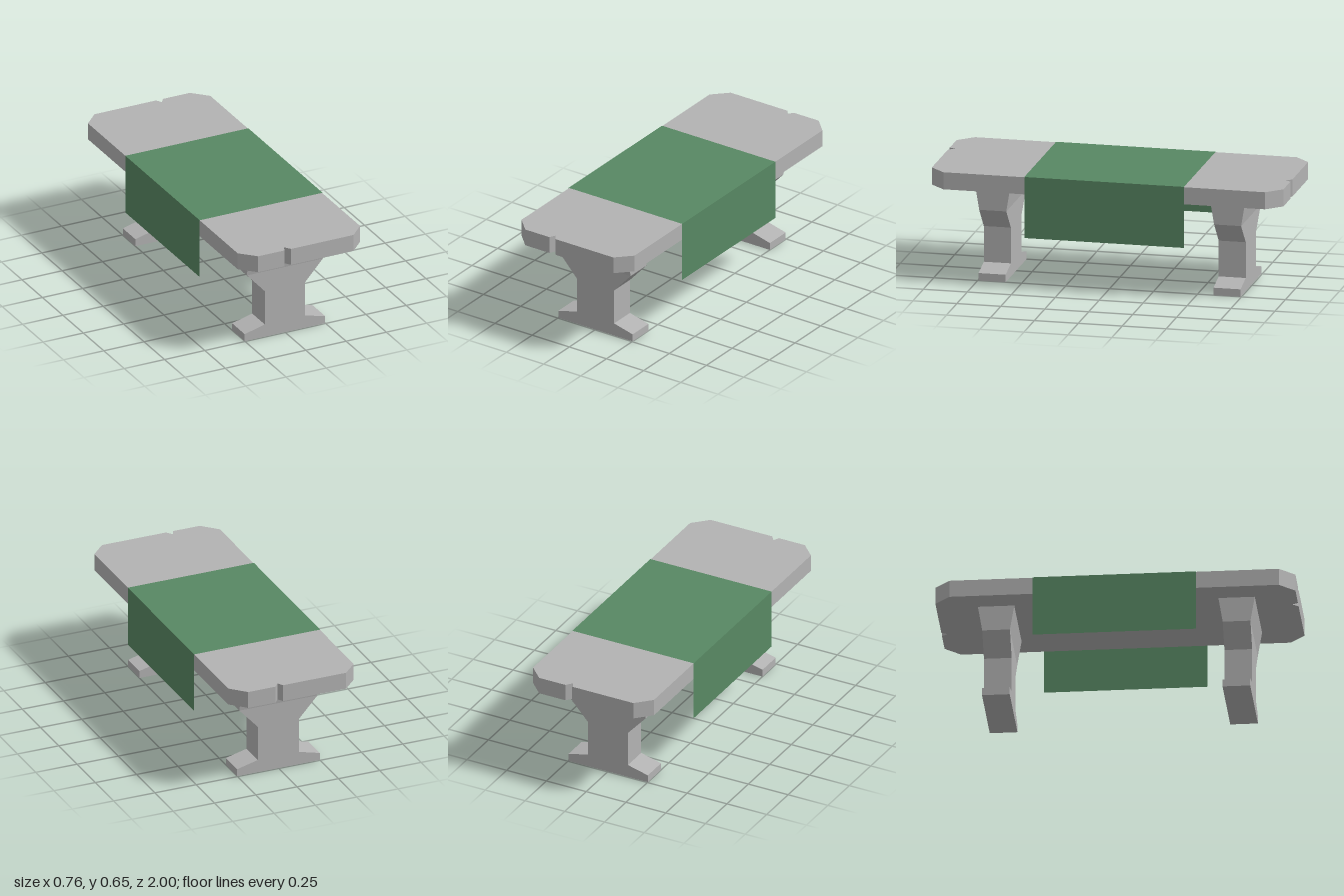
import * as THREE from 'three';

const stone = new THREE.MeshStandardMaterial({ color: 0xb3b3b3 });
stone.name = 'grey stone';
const fabric = new THREE.MeshStandardMaterial({ color: 0x588863, side: THREE.DoubleSide });
fabric.name = 'green cloth';

const shapeOf = (pts) => new THREE.Shape(pts.map(([x, y]) => new THREE.Vector2(x, y)));

function addMesh(parent, name, geometry, material) {
  const mesh = new THREE.Mesh(geometry, material);
  mesh.name = name;
  parent.add(mesh);
  return mesh;
}

// Slab with cut corners and a small chip in each end
function makeSlab() {
  const outline = shapeOf([
    [-0.38, -0.915], [-0.296, -1], [0.085, -1], [0.105, -0.968], [0.13, -1], [0.296, -1], [0.38, -0.915],
    [0.38, 0.915], [0.296, 1], [-0.091, 1], [-0.117, 0.965], [-0.133, 1], [-0.296, 1], [-0.38, 0.915],
  ]);
  const g = new THREE.ExtrudeGeometry(outline, { depth: 0.098, bevelEnabled: false });
  g.rotateX(Math.PI / 2); // outline y becomes z, thickness hangs down
  g.translate(0, 0.645, 0);
  return g;
}

// Pedestal: silhouette with a splayed foot, topped by a capital that widens in z
function makePedestal() {
  const group = new THREE.Group();
  const right = [[0.25, 0], [0.25, 0.043], [0.125, 0.075], [0.125, 0.28], [0.236, 0.402]];
  const left = right.map(([x, y]) => [-x, y]).reverse();
  const stem = new THREE.ExtrudeGeometry(shapeOf([...right, ...left]), { depth: 0.154, bevelEnabled: false });
  stem.translate(0, 0, -0.077);
  addMesh(group, 'stem', stem, stone);

  const capital = new THREE.BoxGeometry(0.472, 0.145, 0.154);
  const p = capital.attributes.position;
  for (let i = 0; i < p.count; i++) {
    if (p.getY(i) > 0) p.setZ(i, Math.sign(p.getZ(i)) * 0.101);
  }
  capital.translate(0, 0.4745, 0);
  const flared = capital.toNonIndexed();
  flared.computeVertexNormals();
  addMesh(group, 'capital', flared, stone);
  return group;
}

export function createModel() {
  const model = new THREE.Group();
  model.name = 'altar';

  addMesh(model, 'slab', makeSlab(), stone);

  for (const side of [1, -1]) {
    const pedestal = makePedestal();
    pedestal.name = side > 0 ? 'frontPedestal' : 'backPedestal';
    pedestal.position.z = side * 0.668;
    model.add(pedestal);
  }

  // Cloth laid over the slab and hanging down both sides
  const cloth = new THREE.Group();
  cloth.name = 'cloth';
  model.add(cloth);
  const top = addMesh(cloth, 'clothTop', new THREE.PlaneGeometry(0.763, 0.908), fabric);
  top.rotation.x = -Math.PI / 2;
  top.position.y = 0.647;
  for (const side of [1, -1]) {
    const drop = addMesh(cloth, side > 0 ? 'leftDrop' : 'rightDrop', new THREE.PlaneGeometry(0.908, 0.35), fabric);
    drop.rotation.y = side * Math.PI / 2;
    drop.position.set(side * 0.3815, 0.472, 0);
  }
  return model;
}
